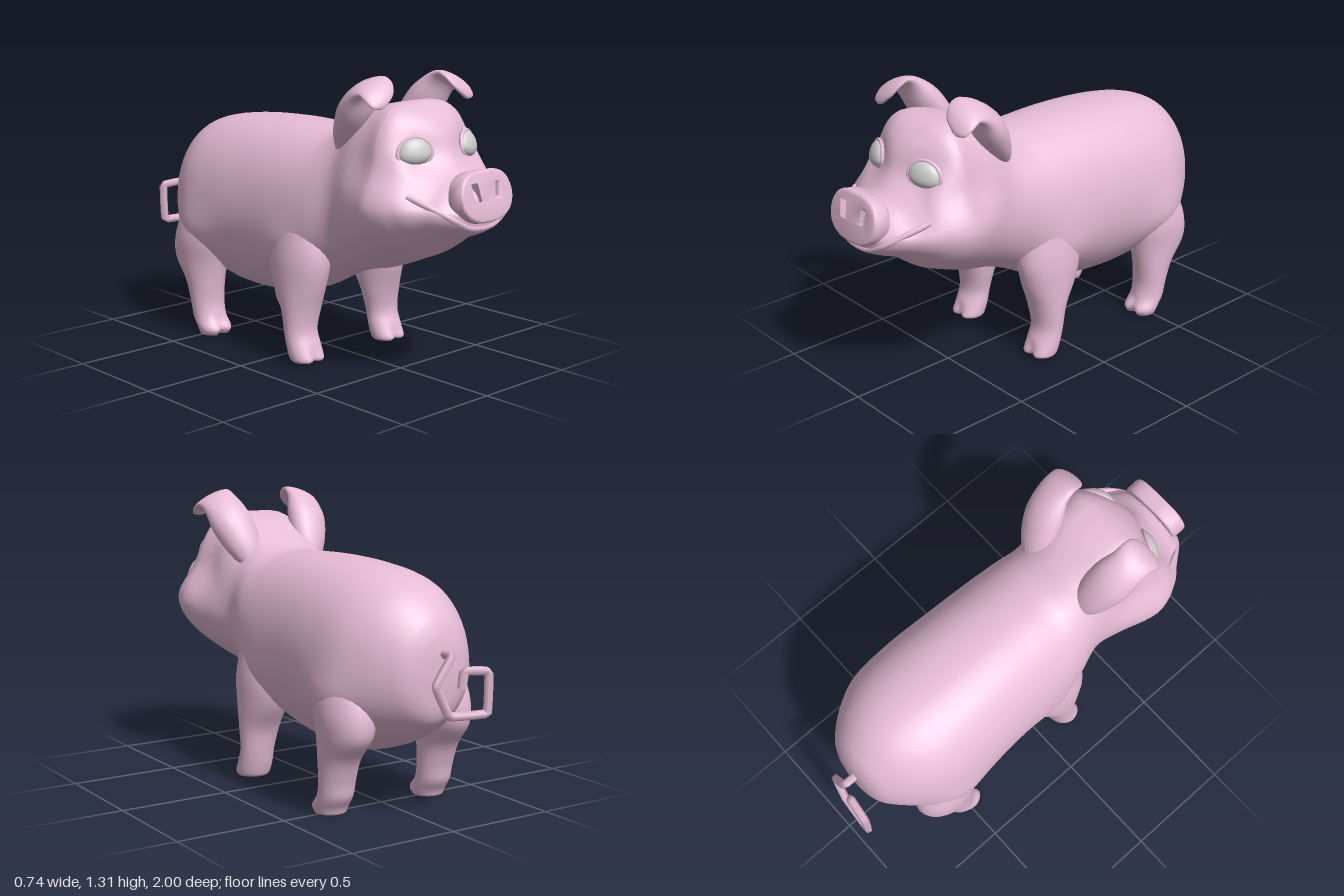
import * as THREE from 'three';
import { toCreasedNormals } from 'three/addons/utils/BufferGeometryUtils.js';

const skin = new THREE.MeshStandardMaterial({ color: 0xe6bcd6 });
const eyeGrey = new THREE.MeshStandardMaterial({ color: 0xcccccc });

// Smoothly resample rows of up to six values
function resample(rows, steps) {
  const curve = (k) => new THREE.CatmullRomCurve3(
    rows.map((r) => new THREE.Vector3(r[k] ?? 0, r[k + 1] ?? 0, r[k + 2] ?? 0)), false, 'catmullrom', 0.5);
  const a = curve(0), b = curve(3), out = [];
  for (let i = 0; i <= steps; i++) out.push([...a.getPoint(i / steps), ...b.getPoint(i / steps)]);
  return out;
}

// Skin a list of closed rings and cap both ends
function loft(rings) {
  const n = rings[0].length, m = rings.length, pos = [], idx = [];
  rings.forEach((ring) => ring.forEach((p) => pos.push(p.x, p.y, p.z)));
  for (let i = 0; i < m - 1; i++) for (let j = 0; j < n; j++) {
    const a = i * n + j, b = i * n + (j + 1) % n;
    idx.push(a, b, a + n, b, b + n, a + n);
  }
  [rings[0], rings[m - 1]].forEach((ring, e) => {
    const c = new THREE.Vector3();
    ring.forEach((p) => c.addScaledVector(p, 1 / n));
    pos.push(c.x, c.y, c.z);
    for (let j = 0; j < n; j++) {
      const a = e * (m - 1) * n + j, b = e * (m - 1) * n + (j + 1) % n;
      idx.push(m * n + e, e ? a : b, e ? b : a);
    }
  });
  const g = new THREE.BufferGeometry();
  g.setAttribute('position', new THREE.Float32BufferAttribute(pos, 3));
  g.setIndex(idx);
  g.computeVertexNormals();
  return g;
}

const ringOf = (n, fn) => Array.from({ length: n }, (_, j) => fn((j / n) * Math.PI * 2));

function part(parent, name, geometry, material = skin) {
  const mesh = new THREE.Mesh(geometry, material);
  mesh.name = name;
  parent.add(mesh);
  return mesh;
}

// Body and head: z, top, bottom, height of widest point, half width, roundness of the upper half
const bodyRows = [
  [-0.895, 0.72, 0.56, 0.64, 0.05, 1], [-0.88, 0.8, 0.46, 0.63, 0.12, 1],
  [-0.84, 0.88, 0.4, 0.63, 0.19, 1], [-0.74, 0.97, 0.33, 0.63, 0.275, 0.95],
  [-0.6, 1.02, 0.27, 0.63, 0.34, 0.9], [-0.4, 1.045, 0.22, 0.63, 0.355, 0.85],
  [-0.15, 1.055, 0.23, 0.64, 0.345, 0.85], [0.05, 1.05, 0.29, 0.66, 0.335, 0.9],
  [0.2, 1.05, 0.37, 0.7, 0.315, 0.9], [0.33, 1.115, 0.42, 0.74, 0.28, 0.8],
  [0.45, 1.17, 0.45, 0.77, 0.31, 0.55], [0.56, 1.195, 0.49, 0.78, 0.35, 0.5],
  [0.63, 1.185, 0.52, 0.79, 0.365, 0.55], [0.7, 1.14, 0.55, 0.79, 0.35, 0.75],
  [0.75, 1.08, 0.585, 0.79, 0.325, 0.9], [0.79, 0.99, 0.615, 0.785, 0.3, 1.1],
  [0.84, 0.925, 0.645, 0.78, 0.255, 1], [0.9, 0.895, 0.665, 0.78, 0.205, 1],
  [0.95, 0.85, 0.69, 0.77, 0.14, 1], [0.965, 0.8, 0.72, 0.76, 0.06, 1],
];

function bodyGeometry() {
  const bump = (y, z, zc) => Math.exp(-(((y - 0.46) / 0.13) ** 2) - ((z - zc) / 0.17) ** 2);
  return loft(resample(bodyRows, 114).map(([z, top, bottom, mid, w, p]) => ringOf(56, (a) => {
    const c = Math.cos(a), s = Math.sin(a);
    const y = mid + s * (s > 0 ? top - mid : mid - bottom);
    // Head narrows above the cheeks
    const pinch = 1 - 0.17 * THREE.MathUtils.smoothstep(s, 0, 0.45) * THREE.MathUtils.smoothstep(z, 0.35, 0.55);
    // Shoulders and haunches swell to meet the legs
    const swell = 0.04 * bump(y, z, 0.1) + 0.045 * bump(y, z, -0.57);
    const x = w * pinch * Math.sign(c) * Math.abs(c) ** (s > 0 ? p : 1.1) + swell * c;
    // Eye sockets pressed into the face
    const d2 = (Math.abs(x) - 0.16) ** 2 + (y - 1.01) ** 2;
    const dent = z > 0.6 ? 0.045 * Math.exp(-d2 / 0.01) : 0;
    return new THREE.Vector3(x, y, z - dent);
  })));
}

// Legs: y, centre z, half depth, centre x, half width
const frontLegRows = [
  [0.015, 0.165, 0.065, 0.255, 0.07], [0.03, 0.165, 0.075, 0.255, 0.08],
  [0.08, 0.145, 0.07, 0.255, 0.083], [0.15, 0.125, 0.065, 0.255, 0.083],
  [0.25, 0.12, 0.085, 0.247, 0.096], [0.36, 0.105, 0.135, 0.24, 0.107],
  [0.46, 0.1, 0.16, 0.235, 0.113], [0.56, 0.1, 0.15, 0.225, 0.113],
  [0.66, 0.1, 0.12, 0.21, 0.105], [0.76, 0.1, 0.06, 0.19, 0.05],
];
const hindLegRows = [
  [0, -0.49, 0.065, 0.26, 0.07], [0.03, -0.49, 0.078, 0.26, 0.08],
  [0.08, -0.525, 0.075, 0.26, 0.08], [0.15, -0.54, 0.075, 0.26, 0.083],
  [0.25, -0.555, 0.1, 0.26, 0.09], [0.35, -0.585, 0.15, 0.255, 0.105],
  [0.45, -0.575, 0.165, 0.247, 0.12], [0.56, -0.555, 0.15, 0.235, 0.118],
  [0.66, -0.54, 0.12, 0.22, 0.11], [0.76, -0.54, 0.06, 0.2, 0.05],
];

function legGeometry(rows, side) {
  return loft(resample(rows, 36).map(([y, zc, rz, xc, rx]) => ringOf(24, (a) => {
    const front = Math.max(0, -Math.sin(a));
    const cleft = 0.04 * front ** 30 * Math.max(0, 1 - y / 0.09);
    return new THREE.Vector3(side * xc + rx * Math.cos(a), y, zc - rz * Math.sin(a) - cleft);
  })));
}

// Ears, folded forward at the tip: centre x, y, z, half width, half thickness
const earRows = [
  [0.15, 0.95, 0.3, 0.04, 0.03], [0.18, 1.06, 0.36, 0.085, 0.06], [0.21, 1.165, 0.43, 0.1, 0.07],
  [0.23, 1.24, 0.49, 0.088, 0.045], [0.235, 1.27, 0.545, 0.085, 0.022], [0.24, 1.25, 0.59, 0.085, 0.018],
  [0.245, 1.215, 0.62, 0.065, 0.014], [0.25, 1.19, 0.63, 0.02, 0.008],
];

function earGeometry(side) {
  const rows = resample(earRows, 28);
  const centre = (r) => new THREE.Vector3(side * r[0], r[1], r[2]);
  const across = new THREE.Vector3(1, -0.4 * side, 0).normalize();
  return loft(rows.map((r, i) => {
    const along = centre(rows[Math.min(i + 1, rows.length - 1)]).sub(centre(rows[Math.max(i - 1, 0)])).normalize();
    const out = along.cross(across).normalize();
    return ringOf(20, (a) => centre(r).addScaledVector(across, r[3] * Math.cos(a)).addScaledVector(out, r[4] * Math.sin(a)));
  }));
}

// Snout disc, broad below its top edge, with two slanted nostrils
function snoutGeometry() {
  const half = [[0.08, 0.095], [0.122, 0.07], [0.146, 0.01], [0.13, -0.048], [0.082, -0.082]];
  const outline = [[0, 0.101], ...half, [0, -0.093], ...half.map(([x, y]) => [-x, y]).reverse()];
  const edge = new THREE.CatmullRomCurve3(outline.map(([x, y]) => new THREE.Vector3(x, y, 0)), true);
  const disc = new THREE.Shape(edge.getPoints(48).slice(0, -1).map((p) => new THREE.Vector2(p.x, p.y)));
  for (const s of [-1, 1]) {
    const hole = [[0.04, -0.015], [0.08, -0.015], [0.092, 0.062], [0.052, 0.062]];
    disc.holes.push(new THREE.Path(hole.map(([x, y]) => new THREE.Vector2(s * x, y))));
  }
  const g = new THREE.ExtrudeGeometry(disc, {
    depth: 0.05, bevelThickness: 0.015, bevelSize: 0.012, bevelSegments: 3 });
  return toCreasedNormals(g, 0.7);
}

// Eye shapes are flatter below than above
function flattenBelow(geometry) {
  const p = geometry.attributes.position;
  for (let i = 0; i < p.count; i++) if (p.getY(i) < 0) p.setY(i, p.getY(i) * 0.65);
  geometry.computeVertexNormals();
  return geometry;
}

export function createModel() {
  const pig = new THREE.Group();
  pig.name = 'pig';
  const body = part(pig, 'body', bodyGeometry());

  // Find the face surface in front of a point
  const ray = new THREE.Raycaster();
  const faceZ = (x, y) => {
    ray.set(new THREE.Vector3(x, y, 2), new THREE.Vector3(0, 0, -1));
    return ray.intersectObject(body)[0]?.point.z ?? 0.75;
  };

  for (const side of [1, -1]) {
    const label = side > 0 ? 'left' : 'right';
    part(pig, label + 'FrontLeg', legGeometry(frontLegRows, side));
    part(pig, label + 'HindLeg', legGeometry(hindLegRows, side));
    part(pig, label + 'Ear', earGeometry(side));

    // Eye and its lid
    const eye = new THREE.Group();
    eye.name = label + 'EyeGroup';
    eye.position.set(side * 0.16, 1.0, faceZ(side * 0.16, 1.0) + 0.004);
    eye.rotation.set(-0.2, side * 0.4, 0);
    part(eye, label + 'Eye', flattenBelow(new THREE.SphereGeometry(1, 28, 18)), eyeGrey).scale.set(0.074, 0.068, 0.035);
    part(eye, label + 'Eyelid', flattenBelow(new THREE.TorusGeometry(0.077, 0.009, 8, 36))).scale.set(1, 0.92, 1);
    pig.add(eye);
  }

  const snout = part(pig, 'snout', snoutGeometry());
  snout.position.set(0, 0.828, 0.918);
  snout.rotation.x = -0.2;

  // Smiling lower lip laid on the face
  const half = [[0.26, 0.845], [0.21, 0.8], [0.15, 0.755], [0.08, 0.718]];
  const smile = [...half.map(([x, y]) => [-x, y]), [0, 0.708], ...half.slice().reverse()];
  const lip = new THREE.CatmullRomCurve3(smile.map(([x, y]) => new THREE.Vector3(x, y, faceZ(x, y) - 0.007)));
  part(pig, 'lowerLip', new THREE.TubeGeometry(lip, 48, 0.014, 8));

  // Angular curled tail
  const tailPoints = [[-0.02, 0.715, -0.86], [-0.02, 0.715, -0.95], [0.06, 0.6, -0.95], [0, 0.47, -0.965],
    [-0.18, 0.465, -0.98], [-0.185, 0.64, -0.98], [-0.07, 0.65, -0.965], [-0.06, 0.58, -0.965]];
  const tail = new THREE.CatmullRomCurve3(tailPoints.map((p) => new THREE.Vector3(...p)), false, 'catmullrom', 0.08);
  part(pig, 'tail', new THREE.TubeGeometry(tail, 56, 0.02, 5)).material.side = THREE.DoubleSide;
  return pig;
}
